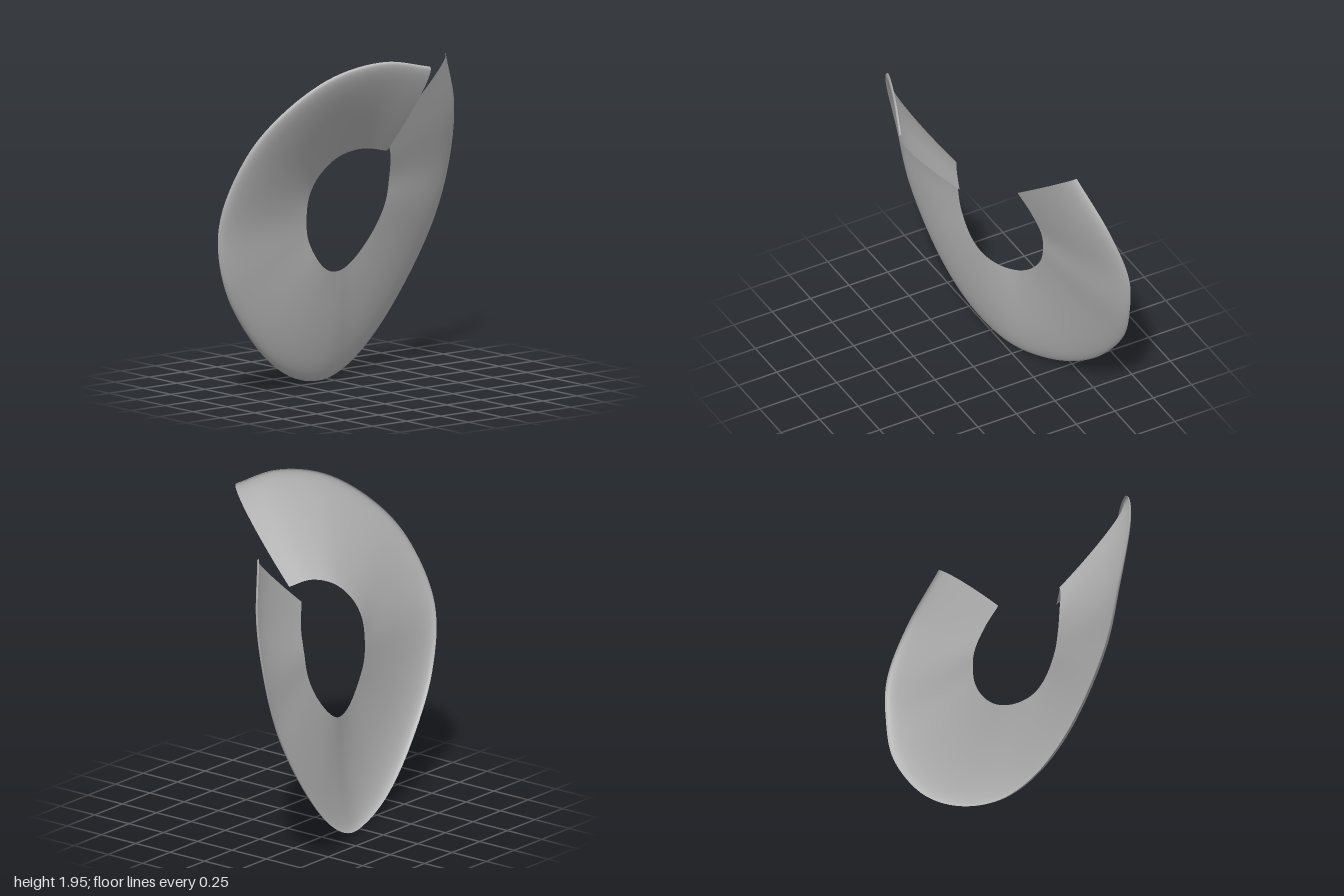
import * as THREE from 'three';

const SEGMENTS = 128; // along the sweep
const RINGS = 24; // from inner edge to outer rim

const curve = (points) =>
  new THREE.CatmullRomCurve3(points.map((p) => new THREE.Vector3(...p)), false, 'centripetal');

// Inner edge and outer rim, swept from the top, down the right side and up the left side
const innerEdge = curve([
  [0.07, 1.37, 0.13], [-0.06, 1.39, 0.075], [-0.18, 1.35, 0.01], [-0.28, 1.25, -0.04],
  [-0.33, 1.13, -0.075], [-0.34, 1.0, -0.09], [-0.32, 0.87, -0.1], [-0.23, 0.73, -0.115],
  [-0.14, 0.665, -0.14], [-0.03, 0.645, -0.18], [0.09, 0.67, -0.225], [0.21, 0.75, -0.25],
  [0.32, 0.88, -0.255], [0.37, 1.0, -0.245], [0.38, 1.12, -0.23], [0.35, 1.27, -0.18],
  [0.28, 1.39, -0.13],
]);
const outerRim = curve([
  [0.07, 1.91, 0.51], [-0.17, 1.95, 0.41], [-0.45, 1.88, 0.29], [-0.72, 1.68, 0.16],
  [-0.9, 1.43, 0.05], [-1.0, 1.03, -0.07], [-0.92, 0.65, -0.115], [-0.64, 0.27, -0.17],
  [-0.36, 0.07, -0.23], [-0.08, 0.0, -0.3], [0.2, 0.04, -0.4], [0.5, 0.21, -0.485],
  [0.8, 0.55, -0.52], [0.94, 0.85, -0.49], [1.0, 1.15, -0.45], [0.95, 1.48, -0.35],
  [0.79, 1.8, -0.23],
]);

// Sheet between the two edges, bulging forward and curling back at the rim
function sheetGeometry() {
  const positions = [];
  const indices = [];
  const row = RINGS + 1;
  for (let i = 0; i <= SEGMENTS; i++) {
    const inner = innerEdge.getPoint(i / SEGMENTS);
    const outer = outerRim.getPoint(i / SEGMENTS);
    for (let j = 0; j <= RINGS; j++) {
      const angle = (j / RINGS) * Math.PI / 2;
      const s = Math.sin(angle);
      const p = inner.clone().lerp(outer, s);
      p.z += 0.11 * (s - 1 + Math.cos(angle));
      positions.push(p.x, p.y, p.z);
      if (i < SEGMENTS && j < RINGS) {
        const a = i * row + j;
        indices.push(a, a + 1, a + row, a + 1, a + row + 1, a + row);
      }
    }
  }
  const geometry = new THREE.BufferGeometry();
  geometry.setAttribute('position', new THREE.Float32BufferAttribute(positions, 3));
  geometry.setIndex(indices);
  geometry.computeVertexNormals();
  return geometry;
}

export function createModel() {
  const group = new THREE.Group();
  group.name = 'twistedOpenRing';
  const grey = new THREE.MeshStandardMaterial({ color: 0xb4b4b4, side: THREE.DoubleSide });
  grey.name = 'grey';
  const sheet = new THREE.Mesh(sheetGeometry(), grey);
  sheet.name = 'curledSheet';
  group.add(sheet);
  return group;
}
